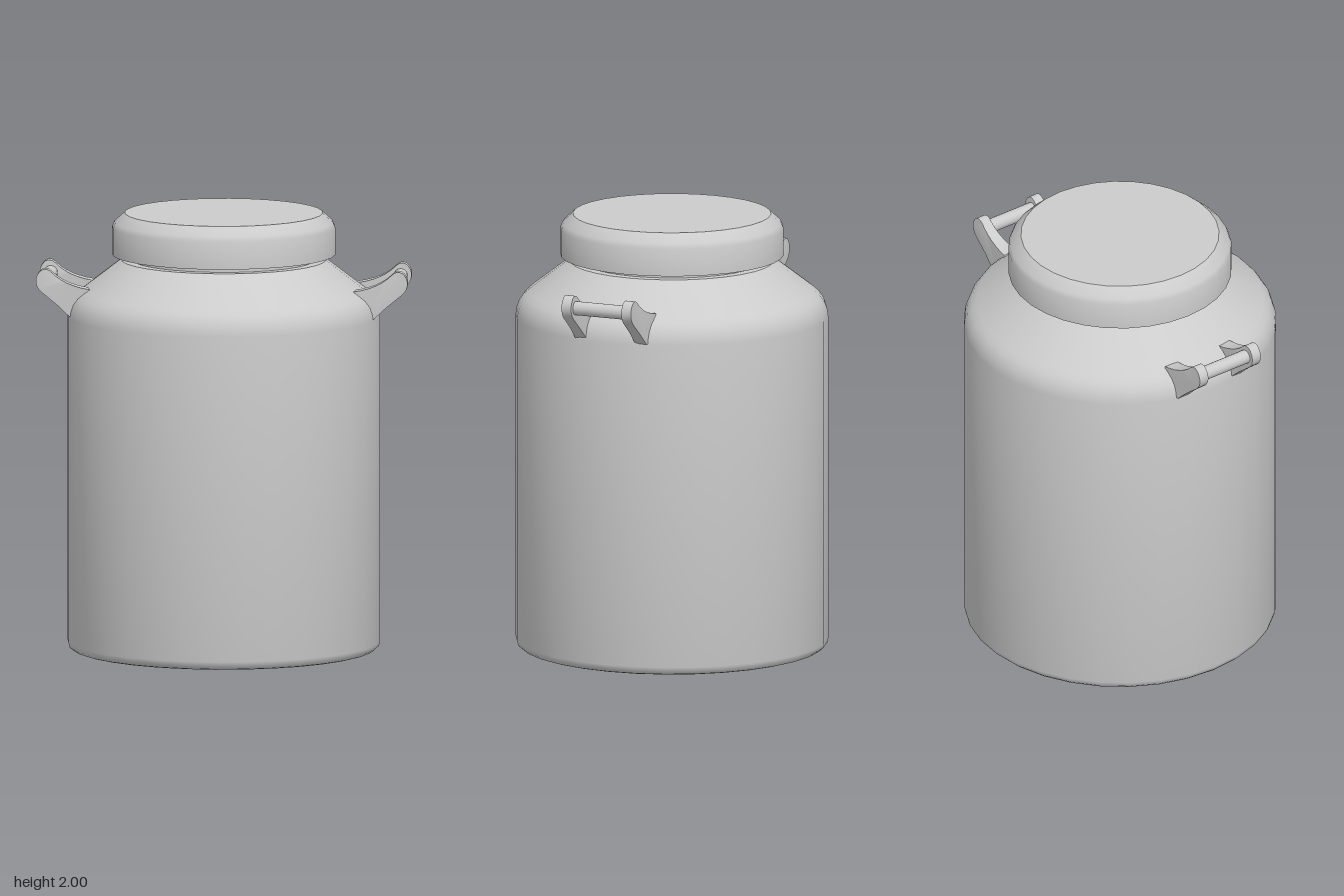
import * as THREE from 'three';
import { toCreasedNormals } from 'three/addons/utils/BufferGeometryUtils.js';

const material = new THREE.MeshStandardMaterial({ color: 0xcccccc });
const HANDLE_Z = -0.018; // handles sit slightly behind the centre line

function addMesh(parent, name, geometry) {
  const mesh = new THREE.Mesh(geometry, material);
  mesh.name = name;
  parent.add(mesh);
  return mesh;
}

// Turned part from [radius, height] pairs listed bottom to top
function turned(profile) {
  const points = profile.map(([r, y]) => new THREE.Vector2(r, y));
  return toCreasedNormals(new THREE.LatheGeometry(points, 32), 0.6);
}

// Handle bracket: side outline extruded along z, flaring towards the body
function bracketGeometry(side) {
  const s = new THREE.Shape();
  s.moveTo(side * 0.66, 1.535);
  s.lineTo(side * 0.688, 1.535);
  s.lineTo(side * 0.75, 1.593);
  s.lineTo(side * 0.82, 1.65);
  s.bezierCurveTo(side * 0.85, 1.675, side * 0.85, 1.712, side * 0.835, 1.733);
  s.bezierCurveTo(side * 0.822, 1.757, side * 0.795, 1.762, side * 0.775, 1.742);
  s.quadraticCurveTo(side * 0.715, 1.68, side * 0.6, 1.664);
  s.lineTo(side * 0.58, 1.62);
  const geo = new THREE.ExtrudeGeometry(s, { depth: 1, bevelEnabled: false, curveSegments: 6 });
  const pos = geo.attributes.position;
  for (let i = 0; i < pos.count; i++) {
    const flare = THREE.MathUtils.clamp((0.77 - Math.abs(pos.getX(i))) / 0.15, 0, 1);
    pos.setZ(i, (pos.getZ(i) - 0.5) * (0.048 + 0.02 * flare));
  }
  return toCreasedNormals(geo, 0.6);
}

export function createModel() {
  const model = new THREE.Group();
  model.name = 'milkCan';

  // Body with rounded base and sloping shoulder
  addMesh(model, 'body', turned([
    [0, 0], [0.67, 0], [0.69, 0.006], [0.705, 0.02], [0.71, 0.04],
    [0.71, 1.53], [0.706, 1.56], [0.695, 1.592], [0.676, 1.62], [0.65, 1.643],
    [0.465, 1.785], [0, 1.785],
  ]));

  // Neck between shoulder and lid
  const neck = addMesh(model, 'neck', new THREE.CylinderGeometry(0.42, 0.42, 0.06, 32));
  neck.position.y = 1.795;

  // Lid with chamfered top edge
  addMesh(model, 'lid', turned([
    [0, 1.81], [0.507, 1.81], [0.507, 1.935], [0.497, 1.958], [0.45, 2], [0, 2],
  ]));

  // Handles: two brackets and a round grip on each side
  for (const side of [1, -1]) {
    const handle = new THREE.Group();
    handle.name = side > 0 ? 'leftHandle' : 'rightHandle';
    handle.position.z = HANDLE_Z;
    model.add(handle);
    for (const end of [1, -1]) {
      addMesh(handle, end > 0 ? 'frontBracket' : 'backBracket', bracketGeometry(side))
        .position.z = end * 0.15;
    }
    const grip = addMesh(handle, 'grip', new THREE.CylinderGeometry(0.032, 0.032, 0.28, 16));
    grip.rotation.x = Math.PI / 2;
    grip.position.set(side * 0.795, 1.697, 0);
  }
  return model;
}
